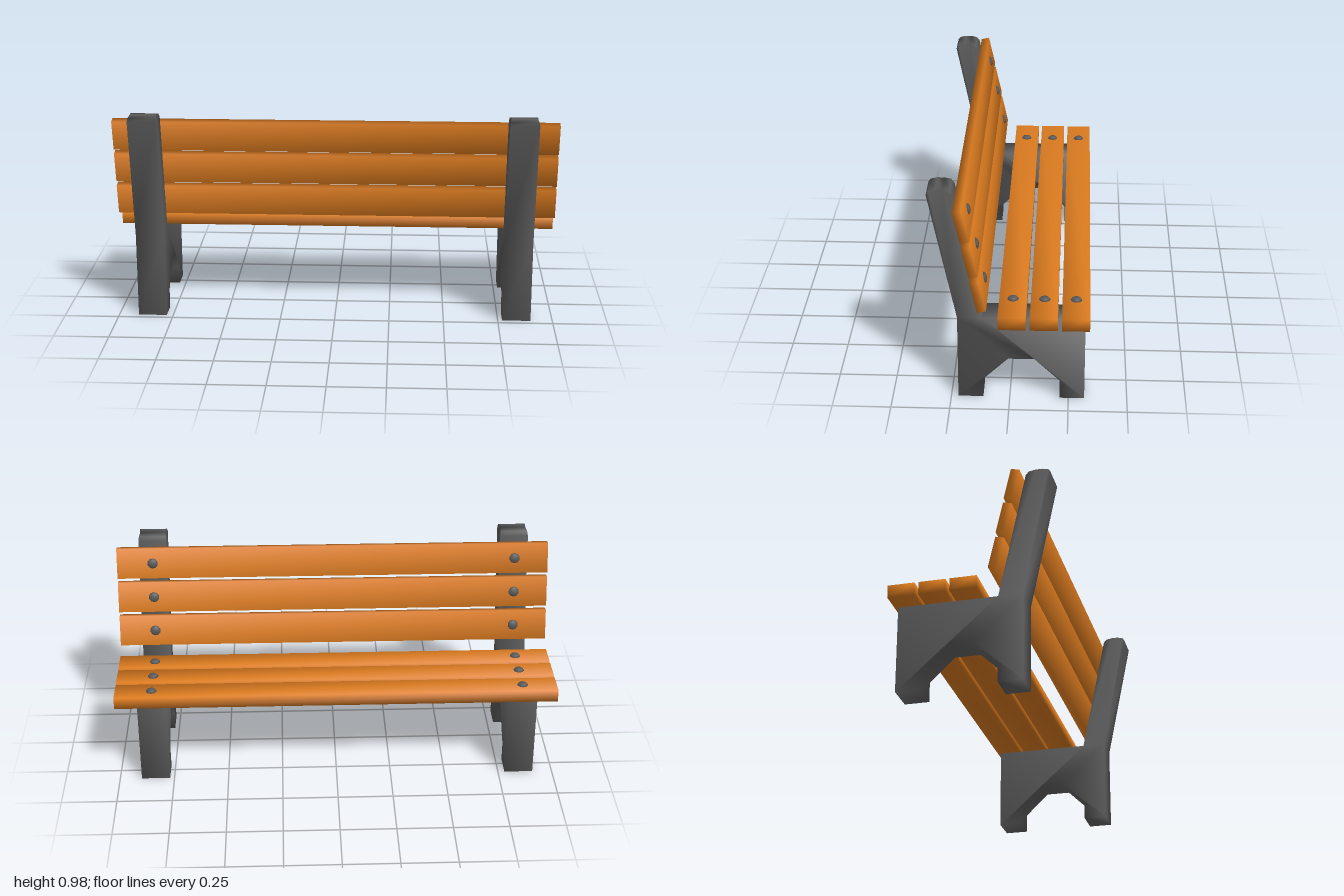
import * as THREE from 'three';
import { mergeVertices } from 'three/addons/utils/BufferGeometryUtils.js';

const wood = new THREE.MeshStandardMaterial({ color: 0xdd7c20 });
const iron = new THREE.MeshStandardMaterial({ color: 0x5c5c5c });
const SUPPORT_X = [-0.845, 0.835];

// Weld the corners so the shading runs softly over the edges
function soften(geometry) {
  geometry.deleteAttribute('normal');
  geometry.deleteAttribute('uv');
  const welded = mergeVertices(geometry, 1e-4);
  welded.computeVertexNormals();
  return welded;
}

function addMesh(parent, geometry, material, name) {
  const mesh = new THREE.Mesh(geometry, material);
  mesh.name = name;
  parent.add(mesh);
  return mesh;
}

// Side profile (z, y): two legs, arch between them and the leaning back post
function supportGeometry() {
  const width = 0.13;
  const profile = [
    [0.22, 0], [0.22, 0.385], [0.337, 0.952], [0.327, 0.966], [0.3, 0.975],
    [0.27, 0.975], [0.243, 0.967], [0.23, 0.95], [0.113, 0.385], [-0.318, 0.385],
    [-0.318, 0], [-0.212, 0], [-0.212, 0.087], [-0.105, 0.19],
    [0.007, 0.19], [0.113, 0.087], [0.113, 0],
  ];
  const shape = new THREE.Shape(profile.map(([z, y]) => new THREE.Vector2(z, y)));
  const geometry = new THREE.ExtrudeGeometry(shape, { depth: width, bevelEnabled: false });
  geometry.translate(0, 0, -width / 2).rotateY(-Math.PI / 2);
  // Narrow the rounded top of the post a little
  const p = geometry.attributes.position;
  for (let i = 0; i < p.count; i++) {
    if (p.getY(i) > 0.96) p.setX(i, p.getX(i) * (p.getY(i) > 0.97 ? 0.88 : 0.96));
  }
  return soften(geometry);
}

// A full-length slat lying flat, with a bolt head over each support
function makeSlat(name, width, thickness) {
  const slat = new THREE.Group();
  slat.name = name;
  addMesh(slat, soften(new THREE.BoxGeometry(2, thickness, width)), wood, name + 'Board');
  for (const x of SUPPORT_X) {
    const bolt = addMesh(slat, soften(new THREE.CylinderGeometry(0.018, 0.029, 0.014, 10)), iron, 'bolt');
    bolt.position.set(x, thickness / 2 + 0.001, 0);
  }
  return slat;
}

export function createModel() {
  const bench = new THREE.Group();
  bench.name = 'bench';

  // Side supports
  const support = supportGeometry();
  for (const x of SUPPORT_X) addMesh(bench, support, iron, 'sideSupport').position.x = x;

  // Seat
  for (const z of [-0.012, -0.145, -0.278]) {
    const slat = makeSlat('seatSlat', 0.116, 0.056);
    slat.position.set(0, 0.417, z);
    bench.add(slat);
  }

  // Backrest, leaning away from the seat
  for (const [y, z] of [[0.541, 0.126], [0.7, 0.158], [0.858, 0.191]]) {
    const slat = makeSlat('backrestSlat', 0.141, 0.038);
    slat.position.set(0, y, z);
    slat.rotation.x = 0.22 - Math.PI / 2;
    bench.add(slat);
  }
  return bench;
}
